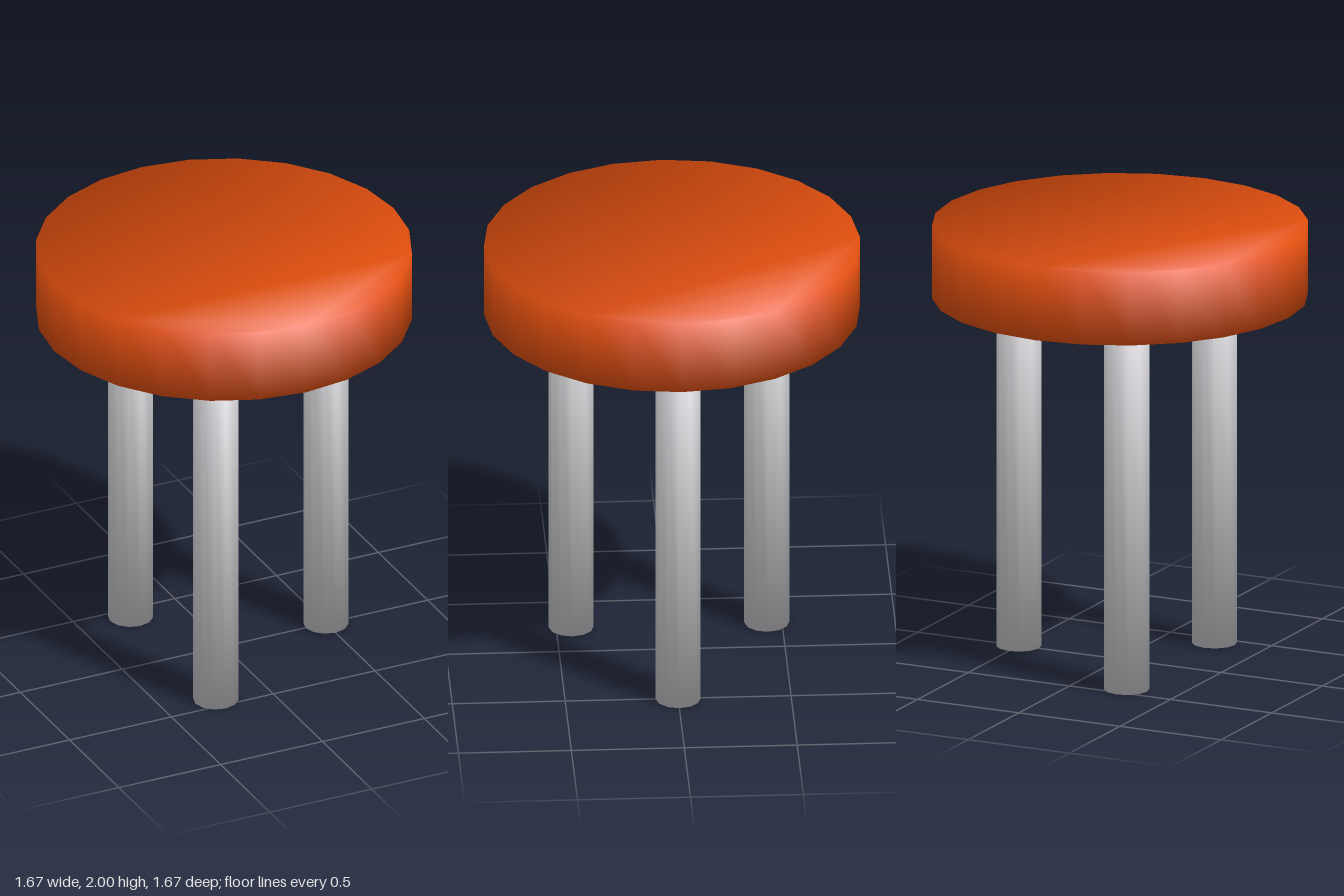
import * as THREE from 'three';

const seatOrange = new THREE.MeshStandardMaterial({ color: 0xe04e0e });
seatOrange.name = 'seat orange';
const legGrey = new THREE.MeshStandardMaterial({ color: 0xc8c8cc });
legGrey.name = 'leg grey';

// Upright many-sided prism whose normals blend smoothly from the sides over the flat ends
function smoothPrism(radius, height, sides, lean) {
  const corners = [];
  for (let i = 0; i < sides; i++) {
    const a = (i / sides) * Math.PI * 2;
    corners.push(new THREE.Vector2(Math.cos(a) * radius, Math.sin(a) * radius));
  }
  const geometry = new THREE.ExtrudeGeometry(new THREE.Shape(corners), { depth: height, bevelEnabled: false });
  geometry.rotateX(-Math.PI / 2);

  const position = geometry.attributes.position;
  const normal = geometry.attributes.normal;
  const n = new THREE.Vector3();
  for (let i = 0; i < position.count; i++) {
    const up = position.getY(i) > height / 2 ? 1 : -1;
    n.set((position.getX(i) / radius) * lean, up, (position.getZ(i) / radius) * lean).normalize();
    normal.setXYZ(i, n.x, n.y, n.z);
  }
  return geometry;
}

export function createModel() {
  const stool = new THREE.Group();
  stool.name = 'stool';

  // Thick round seat
  const seat = new THREE.Mesh(smoothPrism(0.833, 0.333, 24, 1.08), seatOrange);
  seat.name = 'seat';
  seat.position.y = 1.667;
  stool.add(seat);

  // Three straight legs, evenly spaced on a circle
  const legGeometry = smoothPrism(0.1, 1.667, 12, 1.16);
  ['leftLeg', 'frontRightLeg', 'backRightLeg'].forEach((name, i) => {
    const a = (i * Math.PI * 2) / 3;
    const leg = new THREE.Mesh(legGeometry, legGrey);
    leg.name = name;
    leg.position.set(Math.cos(a) * 0.5, 0, Math.sin(a) * 0.5);
    stool.add(leg);
  });

  return stool;
}
